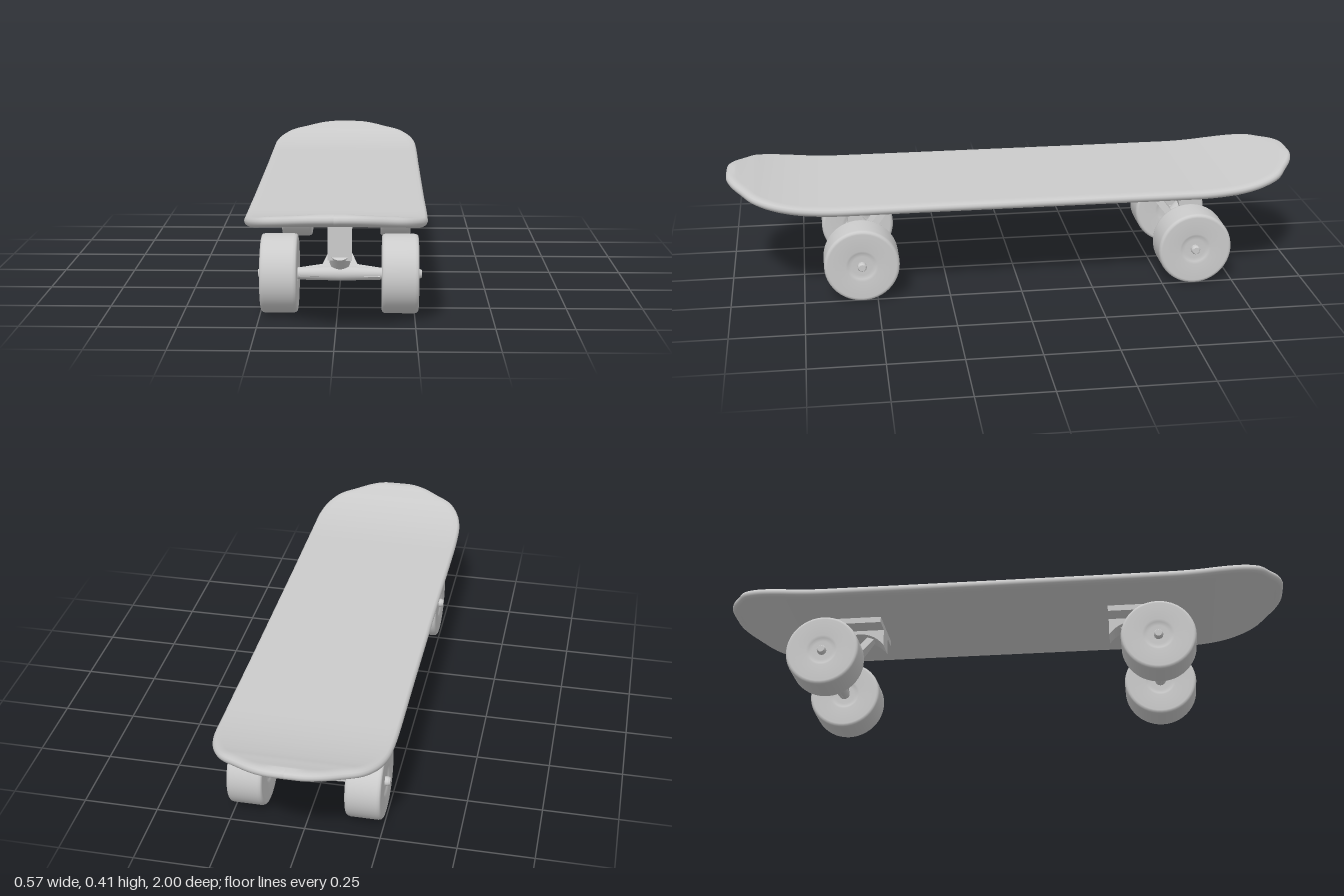
import * as THREE from 'three';

const material = new THREE.MeshStandardMaterial({ color: 0xcccccc });

function add(parent, name, geometry, x = 0, y = 0, z = 0) {
  const mesh = new THREE.Mesh(geometry, material);
  mesh.name = name;
  mesh.position.set(x, y, z);
  parent.add(mesh);
  return mesh;
}

// Cylinder running between two points
function rod(parent, name, from, to, rFrom, rTo, sides = 24) {
  const a = new THREE.Vector3(...from), b = new THREE.Vector3(...to);
  const dir = b.clone().sub(a);
  const mesh = add(parent, name, new THREE.CylinderGeometry(rTo, rFrom, dir.length(), sides));
  mesh.position.copy(a).add(b).multiplyScalar(0.5);
  mesh.quaternion.setFromUnitVectors(new THREE.Vector3(0, 1, 0), dir.normalize());
  return mesh;
}

// Deck: rounded-rim cross-sections along the length, both ends kicked up
function deckGeometry() {
  const end = [[0, 1], [0.06, 0.998], [0.11, 0.982], [0.165, 0.95], [0.225, 0.91],
    [0.262, 0.85], [0.28, 0.78], [0.285, 0.7]];
  const pts = [...end.map(([x, z]) => [x, -z]), [0.285, -0.3], [0.285, 0.3], ...end.slice().reverse()]
    .map(([x, z]) => new THREE.Vector3(x, 0, z));
  const outline = new THREE.CatmullRomCurve3(pts).getSpacedPoints(140);
  const rim = [[0.03, 0], [0.012, 0], [0.003, 0.006], [0, 0.013], [0, 0.019], [0.003, 0.026], [0.01, 0.03], [0.03, 0.03]];
  const lift = z => 0.321 + 0.059 * Math.max(0, (Math.abs(z) - 0.6) / 0.4) ** 2;
  const last = outline.length - 1, n = rim.length * 2;
  const positions = [], index = [];
  outline.forEach((p, i) => {
    const t = outline[Math.min(i + 1, last)].clone().sub(outline[Math.max(i - 1, 0)]).normalize();
    const normal = i === 0 ? [0, -1] : i === last ? [0, 1] : [t.z, -t.x];
    const half = rim.map(([inset, h]) => {
      const z = p.z - normal[1] * inset;
      return [Math.max(0, p.x - normal[0] * inset), lift(p.z) + h, z];
    });
    const ring = [...half, ...half.slice().reverse().map(([x, y, z]) => [-x, y, z])];
    ring.forEach(v => positions.push(...v));
    if (i === last) return;
    for (let j = 0; j < n; j++) {
      const a = i * n + j, b = i * n + (j + 1) % n;
      index.push(a, b, a + n, b, b + n, a + n);
    }
  });
  const g = new THREE.BufferGeometry();
  g.setAttribute('position', new THREE.Float32BufferAttribute(positions, 3));
  g.setIndex(index);
  g.computeVertexNormals();
  return g;
}

// Wheel: rounded tread with a shallow dish around the hub on both faces
function wheelGeometry() {
  const side = [[0, 0.052], [0.035, 0.052], [0.048, 0.054], [0.056, 0.059], [0.117, 0.0595],
    [0.123, 0.058], [0.127, 0.054], [0.129, 0.046]];
  const profile = [...side.map(([r, h]) => [r, -h]), ...side.slice().reverse()];
  const g = new THREE.LatheGeometry(profile.map(([r, h]) => new THREE.Vector2(r, h)), 48);
  return g.rotateZ(-Math.PI / 2);
}

// Truck with the axle at local z = 0 and its outer side towards +z
function truck(name) {
  const g = new THREE.Group();
  g.name = name;
  const axleY = 0.129;

  add(g, 'basePlate', new THREE.BoxGeometry(0.21, 0.024, 0.212), 0, 0.312, -0.068);

  // Bracket: deep outer leg, arch, short inner lip
  const s = new THREE.Shape();
  s.moveTo(0.038, 0.303);
  s.lineTo(0.038, 0.18);
  s.lineTo(-0.005, 0.18);
  s.bezierCurveTo(-0.01, 0.25, -0.035, 0.285, -0.085, 0.287);
  s.quadraticCurveTo(-0.14, 0.285, -0.174, 0.24);
  s.lineTo(-0.174, 0.303);
  s.closePath();
  const bracket = new THREE.ExtrudeGeometry(s, { depth: 0.078, bevelEnabled: false, curveSegments: 12 });
  bracket.translate(0, 0, -0.039).rotateY(-Math.PI / 2);
  add(g, 'bracket', bracket);

  // Hanger: wide at the axle, leaning in to a narrow pivot under the plate
  const h = new THREE.Shape();
  [[-0.13, -0.018], [0.13, -0.018], [0.13, 0.016], [0.057, 0.028], [0.038, 0.07], [0.014, 0.205],
    [-0.014, 0.205], [-0.038, 0.07], [-0.057, 0.028], [-0.13, 0.016]]
    .forEach(([x, y], i) => (i ? h.lineTo(x, y) : h.moveTo(x, y)));
  const hanger = new THREE.ExtrudeGeometry(h, { depth: 0.024, bevelEnabled: false });
  hanger.translate(0, 0, -0.012).rotateX(-0.68);
  add(g, 'hanger', hanger, 0, axleY, 0);

  // Bushing and kingpin through the hanger
  rod(g, 'bushing', [0, 0.205, 0.022], [0, 0.165, -0.012], 0.034, 0.034);
  rod(g, 'innerBushing', [0, 0.165, -0.012], [0, 0.132, -0.04], 0.032, 0.02);
  rod(g, 'kingpin', [0, 0.14, -0.034], [0, 0.121, -0.05], 0.013, 0.013, 6);

  for (const side of [-1, 1]) {
    rod(g, 'axleSleeve', [0, axleY, 0], [side * 0.137, axleY, 0], 0.024, 0.019);
    add(g, 'wheel', wheelGeometry(), side * 0.195, 0.13, 0);
    rod(g, 'axleNut', [side * 0.24, axleY, 0], [side * 0.259, axleY, 0], 0.016, 0.016, 12);
    rod(g, 'axleTip', [side * 0.259, axleY, 0], [side * 0.266, axleY, 0], 0.016, 0.012, 12);
  }
  return g;
}

export function createModel() {
  const model = new THREE.Group();
  model.name = 'skateboard';
  add(model, 'deck', deckGeometry());

  const front = truck('frontTruck');
  front.position.set(0.008, 0, 0.551);
  const back = truck('backTruck');
  back.position.set(0.008, 0, -0.612);
  back.rotation.y = Math.PI;
  model.add(front, back);
  return model;
}
